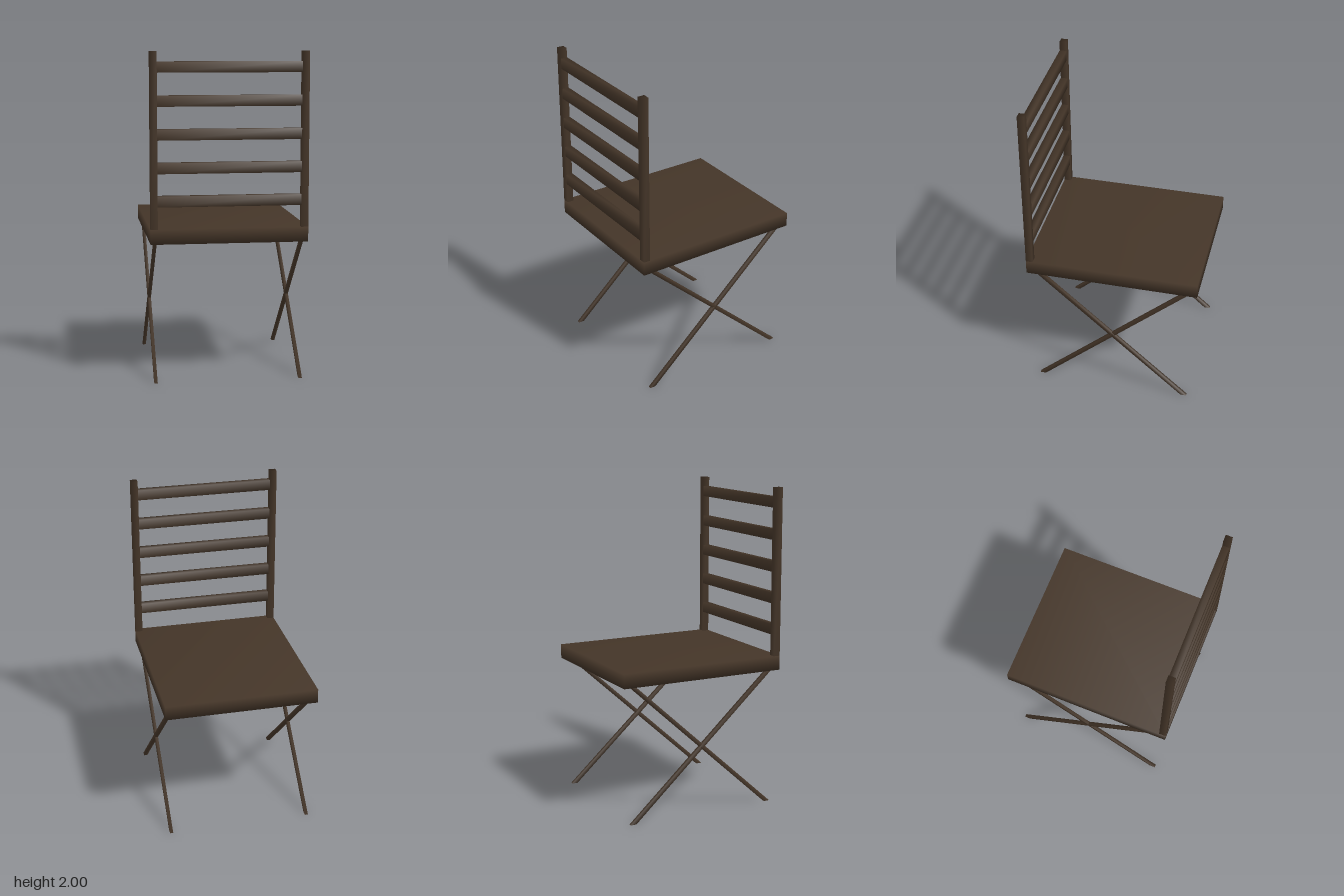
import * as THREE from 'three';
import { mergeVertices } from 'three/addons/utils/BufferGeometryUtils.js';

const wood = new THREE.MeshStandardMaterial({ color: 0x443528 });

// Weld a geometry's corners so its shading runs softly over the edges
function soften(geometry) {
  geometry.deleteAttribute('normal');
  geometry.deleteAttribute('uv');
  const welded = mergeVertices(geometry, 1e-4);
  welded.computeVertexNormals();
  return welded;
}

function addMesh(parent, name, geometry, x, y, z) {
  const mesh = new THREE.Mesh(soften(geometry), wood);
  mesh.name = name;
  mesh.position.set(x, y, z);
  parent.add(mesh);
  return mesh;
}

export function createModel() {
  const chair = new THREE.Group();
  chair.name = 'chair';

  const halfWidth = 0.475, halfDepth = 0.54;
  const seatBottom = 0.86, seatTop = 0.95;
  const post = 0.043;
  const backZ = halfDepth - post / 2;

  // Seat slab
  addMesh(chair, 'seat', new THREE.BoxGeometry(halfWidth * 2, seatTop - seatBottom, halfDepth * 2),
    0, (seatTop + seatBottom) / 2, 0);

  // Ladder back: two posts and five slats
  const back = new THREE.Group();
  back.name = 'backrest';
  chair.add(back);
  const postHeight = 2 - seatTop;
  for (const [side, s] of [['left', 1], ['right', -1]]) {
    addMesh(back, side + 'BackPost', new THREE.BoxGeometry(post, postHeight, post),
      s * (halfWidth - post / 2), seatTop + postHeight / 2, backZ);
  }
  for (let i = 0; i < 5; i++) {
    addMesh(back, 'backSlat' + (i + 1), new THREE.BoxGeometry((halfWidth - post) * 2, 0.065, post),
      0, 1.115 + i * 0.198, backZ);
  }

  // Crossed legs: slanted bars cut level at floor and seat
  const legWidth = 0.02;
  for (const [side, s] of [['left', 1], ['right', -1]]) {
    const pair = new THREE.Group();
    pair.name = side + 'CrossedLegs';
    chair.add(pair);
    for (const [end, d] of [['front', 1], ['back', -1]]) {
      const geometry = new THREE.BoxGeometry(legWidth, seatBottom, 0.037);
      const p = geometry.attributes.position;
      for (let i = 0; i < p.count; i++) {
        p.setZ(i, p.getZ(i) + d * 0.474 * Math.sign(p.getY(i)));
      }
      addMesh(pair, end + 'LeaningLeg', geometry, s * 0.445, seatBottom / 2, 0);
    }
  }
  return chair;
}
